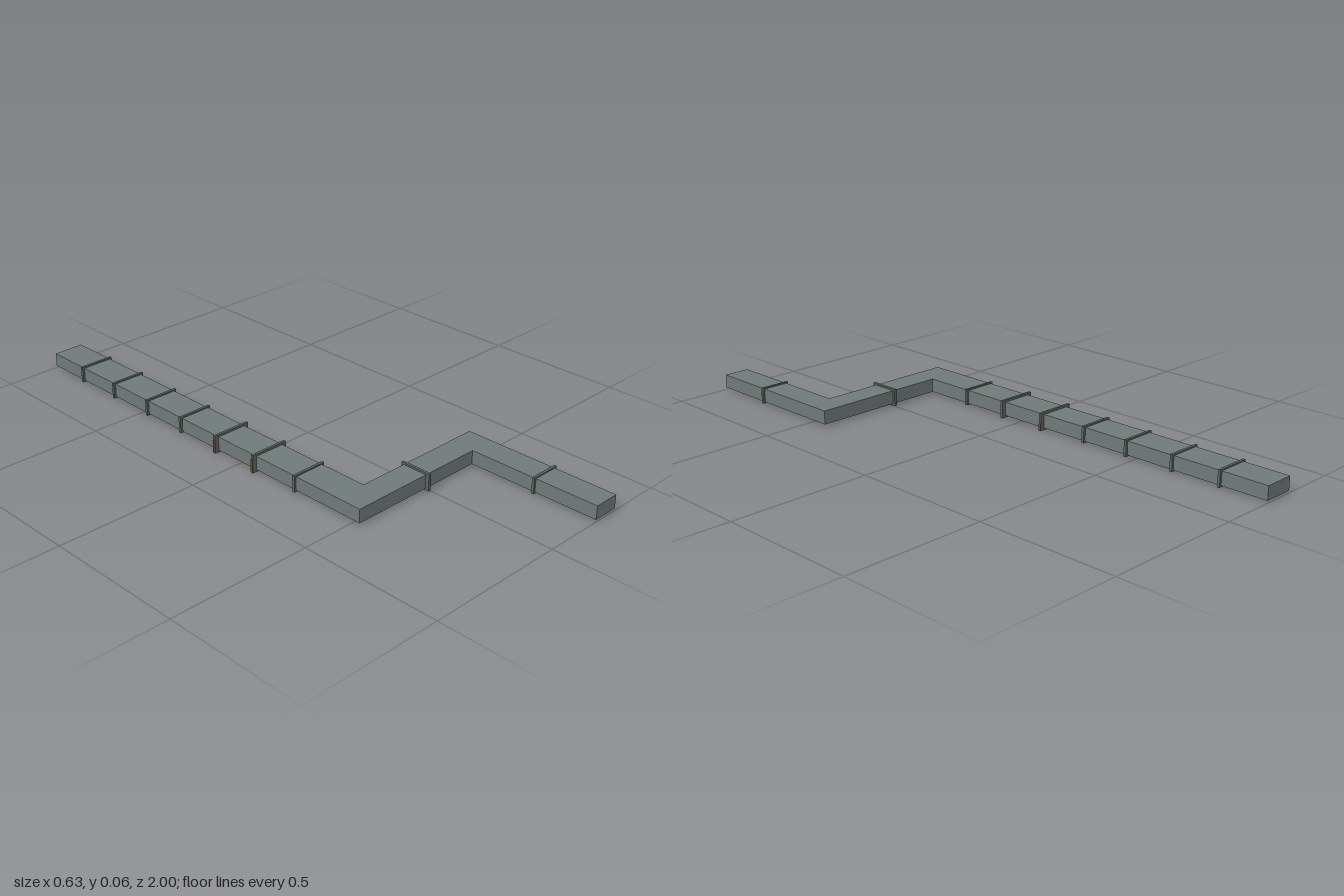
import * as THREE from 'three';

const BOTTOM = 0.01, TOP = 0.058, MID = (BOTTOM + TOP) / 2;

export function createModel() {
  const group = new THREE.Group();
  const steel = new THREE.MeshStandardMaterial({ color: 0x6f7a78 });
  steel.name = 'duct steel';
  const dark = new THREE.MeshStandardMaterial({ color: 0x5d6664 });
  dark.name = 'flange steel';
  const rust = new THREE.MeshStandardMaterial({ color: 0x6b4a36 });
  rust.name = 'rust';

  const box = (name, w, h, d, x, y, z, material) => {
    const mesh = new THREE.Mesh(new THREE.BoxGeometry(w, h, d), material);
    mesh.name = name;
    mesh.position.set(x, y, z);
    group.add(mesh);
  };

  // Rectangular duct: plan outline (x, z) extruded upward
  const plan = [
    [-0.302, -1], [-0.19, -1], [-0.19, 0.433], [0.307, 0.433],
    [0.307, 1], [0.212, 1], [0.212, 0.525], [-0.302, 0.525],
  ];
  const shape = new THREE.Shape(plan.map(([x, z]) => new THREE.Vector2(x, -z)));
  const geometry = new THREE.ExtrudeGeometry(shape, { depth: TOP - BOTTOM, bevelEnabled: false });
  geometry.rotateX(-Math.PI / 2);
  geometry.translate(0, BOTTOM, 0);
  const duct = new THREE.Mesh(geometry, steel);
  duct.name = 'duct';
  group.add(duct);

  // Joint flanges along the long run; the two rusted ones are larger
  for (const z of [-0.83, -0.65, -0.467, -0.29, -0.108, 0.072, 0.252]) {
    const rusted = z > -0.2 && z < 0.2;
    const w = rusted ? 0.142 : 0.128, h = rusted ? 0.063 : 0.058;
    box('longRunFlange', w, h, 0.009, -0.246, MID, z, dark);
    if (rusted) {
      // Rust patch on the outer edge
      box('rustPatch', 0.004, h * 0.7, 0.0095, -0.246 - w / 2, MID - 0.006, z, rust);
    }
  }
  box('rustPatch', 0.004, 0.025, 0.0095, -0.175, 0.016, -0.108, rust);

  // Flanges on the cross run and the front run
  box('crossRunFlange', 0.01, 0.06, 0.113, -0.005, MID, 0.481, dark);
  box('frontRunFlange', 0.11, 0.057, 0.009, 0.26, MID, 0.77, dark);

  // Stand on the ground and centre the bounds
  const bounds = new THREE.Box3().setFromObject(group);
  group.position.y = -bounds.min.y;
  return group;
}
